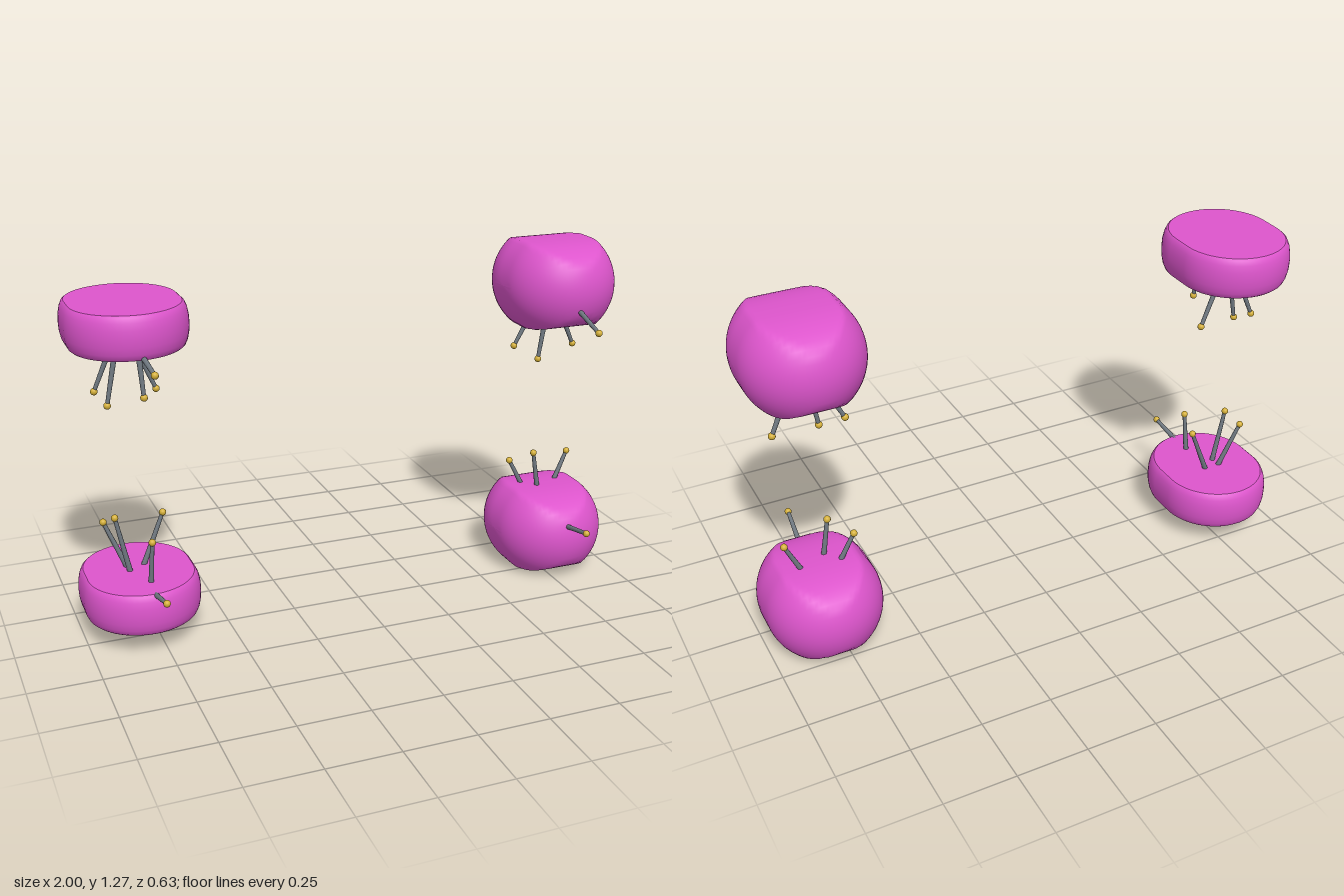
import * as THREE from 'three';

const R = 0.2045;        // ball radius
const STRETCH = 0.037;   // half of the straight stretch along z
const CZ = -0.0735;      // z of every body's centre
const MIRROR_Y = 1.274;  // lower set is repeated upside down above

const pink = new THREE.MeshStandardMaterial({ color: 0xdd55cc });
const grey = new THREE.MeshStandardMaterial({ color: 0x6f7880 });
const gold = new THREE.MeshStandardMaterial({ color: 0xd4af37 });

// Skin a list of closed rings (arrays of Vector3)
function loft(rings) {
  const n = rings[0].length, pos = [], index = [];
  rings.forEach(ring => ring.forEach(p => pos.push(p.x, p.y, p.z)));
  for (let i = 0; i < rings.length - 1; i++) {
    for (let j = 0; j < n; j++) {
      const a = i * n + j, b = i * n + (j + 1) % n;
      index.push(a, b, a + n, b, b + n, a + n);
    }
  }
  const g = new THREE.BufferGeometry();
  g.setAttribute('position', new THREE.Float32BufferAttribute(pos, 3));
  g.setIndex(index);
  g.computeVertexNormals();
  return g;
}

// Stretched ball trimmed above and below by a soft oval running along x
function thickBody() {
  const rings = [], slices = 40, around = 64;
  for (let i = 0; i <= slices; i++) {
    const a = Math.PI * (i / slices - 0.5);
    const x = R * Math.sin(a), rho = Math.max(R * Math.cos(a), 1e-5);
    const ring = [];
    for (let j = 0; j < around; j++) {
      const t = j / around * Math.PI * 2;
      const c = Math.cos(t), s = Math.sin(t), ac = Math.abs(c), as = Math.abs(s);
      let ball = rho / Math.max(as, 1e-9);
      if (ball * ac > STRETCH) {
        ball = STRETCH * ac + Math.sqrt(Math.max(0, rho * rho - (STRETCH * as) ** 2));
      }
      const oval = Math.pow((ac / 0.25) ** 2.5 + (as / 0.156) ** 2.5, -0.4);
      const r = Math.min(ball, oval);
      ring.push(new THREE.Vector3(x, r * s, r * c));
    }
    rings.push(ring.reverse());
  }
  return loft(rings);
}

// Thin slice of the same ball: rounded rim, flat faces
function thinBody() {
  const profile = [[0.184, -0.074], [0.191, -0.068], [0.198, -0.052], [0.203, -0.028], [R, 0],
    [0.203, 0.028], [0.198, 0.052], [0.191, 0.068], [0.184, 0.074]];
  const around = 64;
  const outline = (r, y) => Array.from({ length: around }, (_, j) => {
    const t = (j + 0.5) / around * Math.PI * 2;
    const z = r * Math.cos(t);
    return new THREE.Vector3(r * Math.sin(t), y, z + Math.sign(z) * STRETCH);
  });
  return loft(profile.map(([r, y]) => outline(r, y)));
}

// Flat stadium-shaped face closing the thin body
function thinFace() {
  const s = new THREE.Shape();
  s.absarc(0, STRETCH, 0.184, 0, Math.PI, false);
  s.absarc(0, -STRETCH, 0.184, Math.PI, Math.PI * 2, false);
  return new THREE.ShapeGeometry(s, 32).rotateX(-Math.PI / 2).translate(0, 0.074, 0);
}

// Slim rod from base to tip with a small round head
function pin(base, tip) {
  const g = new THREE.Group();
  g.name = 'pin';
  const dir = tip.clone().sub(base);
  const rod = new THREE.Mesh(new THREE.CylinderGeometry(0.007, 0.01, dir.length(), 12), grey);
  rod.name = 'pinRod';
  rod.position.copy(base).addScaledVector(dir, 0.5);
  rod.quaternion.setFromUnitVectors(new THREE.Vector3(0, 1, 0), dir.normalize());
  const head = new THREE.Mesh(new THREE.SphereGeometry(0.0125, 16, 12), gold);
  head.name = 'pinHead';
  head.position.copy(tip);
  g.add(rod, head);
  return g;
}

// Pins of the lower bodies: [base, tip]
const thickPins = [
  [[0.735, 0.28, -0.11], [0.67, 0.408, -0.12]],
  [[0.768, 0.28, -0.062], [0.74, 0.45, -0.06]],
  [[0.845, 0.28, -0.1], [0.91, 0.42, -0.106]],
  [[0.787, 0.21, 0.1], [0.77, 0.26, 0.305]],
];
const thinPins = [
  [[-0.825, 0.215, -0.1], [-0.9, 0.4, -0.12]],
  [[-0.825, 0.215, -0.064], [-0.87, 0.435, -0.06]],
  [[-0.775, 0.215, -0.1], [-0.692, 0.41, -0.11]],
  [[-0.78, 0.215, 0.047], [-0.772, 0.38, 0.065]],
  [[-0.787, 0.213, 0.1], [-0.777, 0.246, 0.263]],
];

export function createModel() {
  const model = new THREE.Group();
  model.name = 'pinnedBodies';
  const thick = thickBody(), thin = thinBody(), face = thinFace();

  for (const upper of [false, true]) {
    const flip = y => upper ? MIRROR_Y - y : y;
    const level = upper ? 'upper' : 'lower';

    const thickMesh = new THREE.Mesh(thick, pink);
    thickMesh.name = level + 'ThickBody';
    thickMesh.position.set(0.7935, flip(0.16), CZ);

    const thinGroup = new THREE.Group();
    thinGroup.name = level + 'ThinBody';
    thinGroup.position.set(-0.7955, flip(0.155), CZ);
    const rim = new THREE.Mesh(thin, pink);
    rim.name = 'rim';
    const top = new THREE.Mesh(face, pink);
    top.name = 'topFace';
    const bottom = new THREE.Mesh(face, pink);
    bottom.name = 'bottomFace';
    bottom.rotation.x = Math.PI;
    thinGroup.add(rim, top, bottom);
    model.add(thickMesh, thinGroup);

    for (const [b, t] of [...thickPins, ...thinPins]) {
      model.add(pin(new THREE.Vector3(b[0], flip(b[1]), b[2]), new THREE.Vector3(t[0], flip(t[1]), t[2])));
    }
  }
  return model;
}
